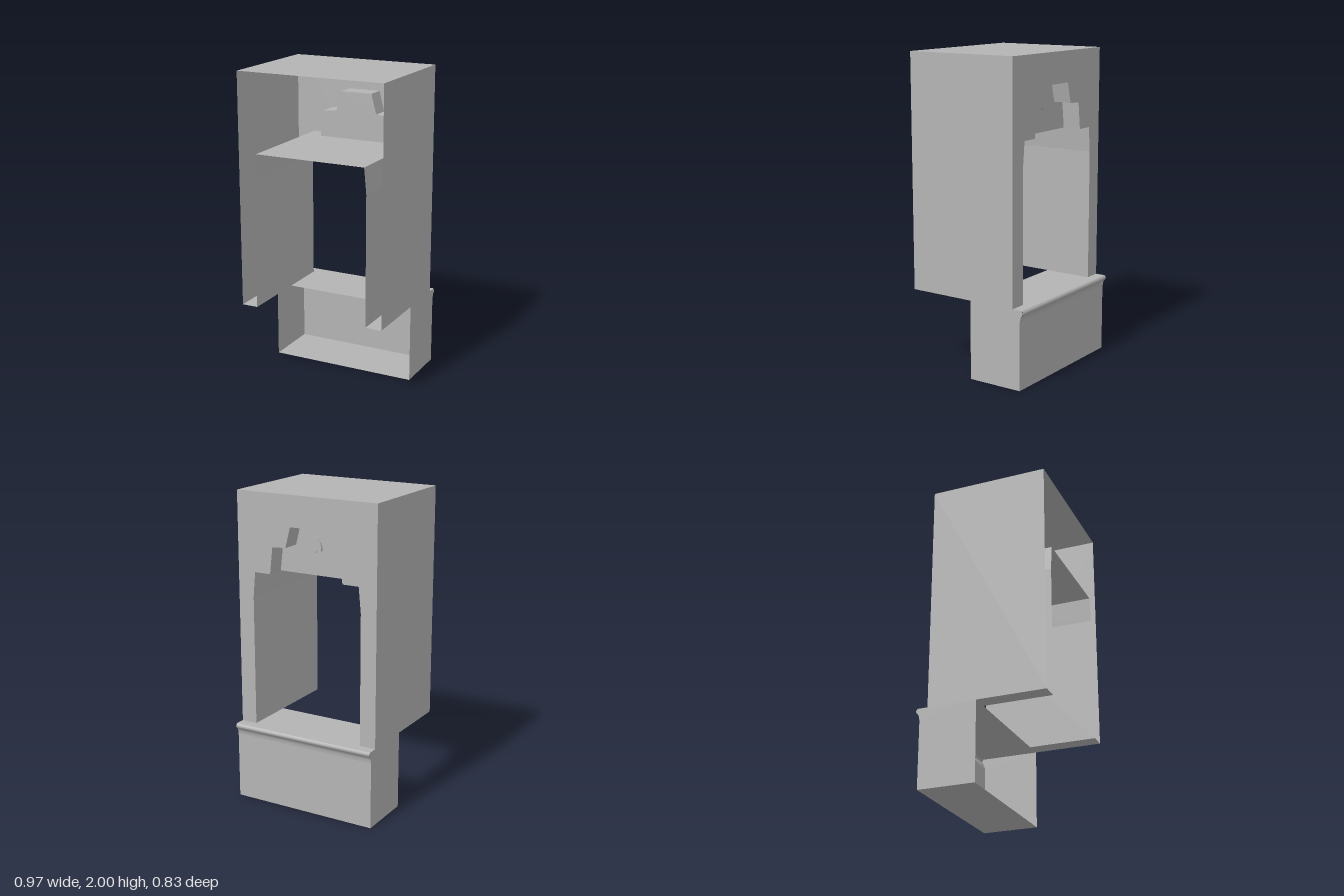
import * as THREE from 'three';

const W = 0.486, BACK = -0.34, FRONT = 0.415, RECESS = -0.22, SILL = 0.505;
const stone = new THREE.MeshStandardMaterial({ color: 0xb4b4b4, side: THREE.DoubleSide });
stone.name = 'stone grey';

// Sheet swept between two matching polylines of [x, y, z] points
function sheet(name, a, b, smooth = false) {
  const index = [];
  for (let i = 0; i < a.length - 1; i++) {
    const j = i + a.length;
    index.push(i, i + 1, j, i + 1, j + 1, j);
  }
  let geo = new THREE.BufferGeometry();
  geo.setAttribute('position', new THREE.Float32BufferAttribute([...a, ...b].flat(), 3));
  geo.setIndex(index);
  if (!smooth) geo = geo.toNonIndexed();
  geo.computeVertexNormals();
  return named(name, geo);
}

function named(name, geo) {
  const mesh = new THREE.Mesh(geo, stone);
  mesh.name = name;
  return mesh;
}

// Profile in x, y swept along z
const alongZ = (name, pts, z0, z1) =>
  sheet(name, pts.map(([x, y]) => [x, y, z0]), pts.map(([x, y]) => [x, y, z1]));
// Profile in z, y swept along x
const alongX = (name, pts, smooth) =>
  sheet(name, pts.map(([z, y]) => [-W, y, z]), pts.map(([z, y]) => [W, y, z]), smooth);

const toShape = (pts) => new THREE.Shape(pts.map(([x, y]) => new THREE.Vector2(x, y)));
function plate(name, shape, z) {
  const geo = new THREE.ShapeGeometry(shape, 8);
  // Turn the winding so that the face looks toward -z
  const idx = geo.index.array;
  for (let i = 0; i < idx.length; i += 3) [idx[i], idx[i + 1]] = [idx[i + 1], idx[i]];
  geo.computeVertexNormals();
  geo.translate(0, 0, z);
  return named(name, geo);
}

export function createModel() {
  const model = new THREE.Group();
  model.name = 'niche';

  const mirror = (half) => [...half, ...half.map(([x, y]) => [-x, y]).reverse()];
  const jamb = [[-0.38, SILL], [-0.38, 1.34], [-0.365, 1.5]];
  const steps = [[-0.255, 1.5], [-0.235, 1.67], [-0.141, 1.675], [-0.107, 1.805]];
  const crown = mirror(steps);

  // Wall with the stepped opening
  const wall = toShape([[-W, SILL], ...jamb, ...crown,
    ...jamb.map(([x, y]) => [-x, y]).reverse(), [W, SILL], [W, 2], [-W, 2]]);
  model.add(plate('openingWall', wall, BACK));

  // Outer casing: two sides and top, open at the front
  model.add(alongZ('casing', [[-W, SILL], [-W, 2], [W, 2], [W, SILL]], BACK, FRONT));

  // Inner side faces, foot strips and ledges
  for (const s of [-1, 1]) {
    const side = jamb.map(([x, y]) => [x * -s, y]);
    model.add(alongZ('innerSide', side, BACK, FRONT));
    model.add(alongZ('footStrip', [[s * W, SILL], [s * 0.38, SILL]], BACK, FRONT));
    model.add(alongZ('ledge', [[s * 0.365, 1.5], [s * 0.255, 1.5]], BACK, RECESS));
  }
  model.add(alongZ('ceiling', [[-0.365, 1.5], [0.365, 1.5]], RECESS, FRONT));

  // Recessed stepped panel and its rim
  model.add(alongZ('recessRim', crown, BACK, RECESS));
  model.add(plate('recessPanel', toShape(crown), RECESS));

  // Small pointed boss on the panel
  const boss = new THREE.Shape();
  boss.moveTo(0, 1.745);
  boss.quadraticCurveTo(0.052, 1.71, 0.047, 1.655);
  boss.quadraticCurveTo(0.02, 1.66, 0, 1.638);
  boss.quadraticCurveTo(-0.02, 1.66, -0.047, 1.655);
  boss.quadraticCurveTo(-0.052, 1.71, 0, 1.745);
  const bossGeo = new THREE.ExtrudeGeometry(boss, { depth: 0.015, bevelEnabled: false, curveSegments: 6 });
  bossGeo.translate(0, 0, RECESS - 0.015);
  model.add(named('boss', bossGeo));

  // Base box, open at the front
  const B0 = -0.39, B1 = -0.025;
  model.add(alongX('baseShell', [[B1, 0], [B0, 0], [B0, 0.43]]));
  model.add(alongX('sillMoulding', [[B0, 0.43], [-0.392, 0.45], [-0.398, 0.465], [-0.41, 0.477],
    [-0.415, 0.487], [-0.413, 0.497], [-0.405, SILL]], true));
  model.add(alongX('sillTop', [[-0.405, SILL], [B1, SILL]]));
  const end = toShape([[B1, 0], [B0, 0], [B0, 0.43], [-0.398, 0.465], [-0.415, 0.487],
    [-0.405, SILL], [B1, SILL]]);
  for (const s of [-1, 1]) {
    const geo = new THREE.ShapeGeometry(end);
    geo.rotateY(-Math.PI / 2);
    geo.translate(s * W, 0, 0);
    // Turn the +x end outward
    if (s > 0) {
      const idx = geo.index.array;
      for (let i = 0; i < idx.length; i += 3) [idx[i], idx[i + 1]] = [idx[i + 1], idx[i]];
      geo.computeVertexNormals();
    }
    model.add(named('baseEnd', geo));
  }
  return model;
}
